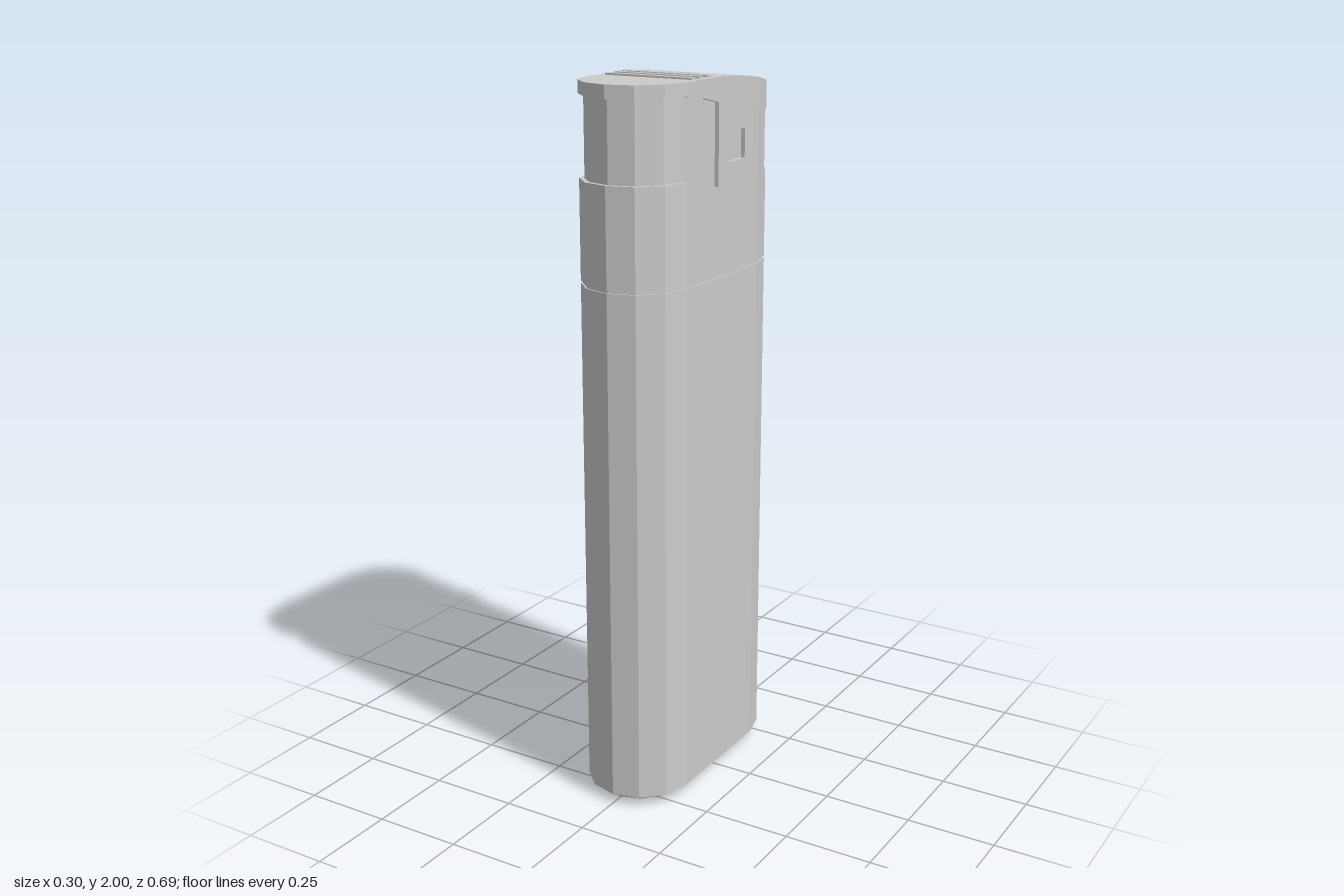
import * as THREE from 'three';

const TOP = 1.995, LID = 0.035, SEAM = 1.476, WALL = 0.012;
const mat = new THREE.MeshStandardMaterial({ color: 0xcccccc, flatShading: true });

// Plan outline [x, z], anticlockwise from the front seen from above
const half = [[0, 0.345], [0.075, 0.325], [0.13, 0.27], [0.15, 0.195],
  [0.15, -0.18], [0.13, -0.26], [0.075, -0.315], [0, -0.333]];
const outline = [...half, ...half.slice(1, 7).reverse().map(([x, z]) => [-x, z])];
const N = outline.length;

// How far the lid slopes down towards the back
const drop = z => (z < 0.05 ? 0.052 * ((0.05 - z) / 0.383) ** 2 : 0);
const underLid = z => TOP - LID - drop(z);

function bend(geo) {
  const p = geo.attributes.position;
  for (let i = 0; i < p.count; i++) p.setY(i, p.getY(i) - drop(p.getZ(i)));
  geo.computeVertexNormals();
  return geo;
}

function add(parent, name, geo, x = 0, y = 0, z = 0) {
  const mesh = new THREE.Mesh(geo, mat);
  mesh.name = name;
  mesh.position.set(x, y, z);
  parent.add(mesh);
  return mesh;
}

// Closed solid from rings [y, inset] of the outline, bottom to top
function loft(rings, minZ = -1) {
  const pos = [], idx = [];
  for (const [y, inset] of rings)
    for (const [x, z] of outline)
      pos.push(x * (1 - inset / 0.15), y, Math.max(z * (1 - inset / 0.34), minZ));
  const last = (rings.length - 1) * N, c = rings.length * N;
  pos.push(0, rings[0][0], 0, 0, rings[rings.length - 1][0], 0);
  for (let j = 0; j < N; j++) {
    const k = (j + 1) % N;
    for (let r = 0; r < last; r += N)
      idx.push(r + j, r + k, r + N + k, r + j, r + N + k, r + N + j);
    idx.push(c, k, j, c + 1, last + j, last + k);
  }
  const g = new THREE.BufferGeometry();
  g.setAttribute('position', new THREE.Float32BufferAttribute(pos, 3));
  g.setIndex(idx);
  const flat = g.toNonIndexed();
  flat.computeVertexNormals();
  return flat;
}

const toShape = pts => new THREE.Shape(pts.map(([x, y]) => new THREE.Vector2(x, y)));

// Turn an object so its x runs along outline edge j and its z points outwards
function placeOnEdge(obj, j) {
  const [ax, az] = outline[j], [bx, bz] = outline[(j + 1) % N];
  obj.position.set(ax, 0, az);
  obj.rotation.y = Math.atan2(az - bz, bx - ax);
}

function wallPanel(parent, name, j, pts, hole) {
  const shape = toShape(pts);
  if (hole) shape.holes.push(new THREE.Path(hole.map(([x, y]) => new THREE.Vector2(x, y))));
  const g = new THREE.ExtrudeGeometry(shape, { depth: WALL, bevelEnabled: false });
  placeOnEdge(add(parent, name, g.translate(0, 0, -WALL)), j);
}

// Plate cut from plan points [x, z], following the lid slope
function lidPlate(pts) {
  const g = new THREE.ExtrudeGeometry(toShape(pts.map(([x, z]) => [x, -z])),
    { depth: LID, bevelEnabled: false });
  return bend(g.rotateX(-Math.PI / 2).translate(0, TOP - LID, 0));
}

// Half cut-outs lying on a corner: [distance from corner, y]
const ventNotch = [[0, 1.715], [0.009, 1.719], [0.013, 1.73], [0.013, 1.87], [0.009, 1.881], [0, 1.885]];
const sliderNotch = [[0, 1.565], [0.07, 1.565], [0.07, 1.615], [0, 1.615]];
const notchAt = i => ([5, 6, 8, 9].includes(i) ? ventNotch : i === 7 ? sliderNotch : []);

function buildShroud() {
  const shroud = new THREE.Group();
  shroud.name = 'shroud';
  for (let j = 0; j < N; j++) {
    const k = (j + 1) % N, a = outline[j], b = outline[k];
    const L = Math.hypot(b[0] - a[0], b[1] - a[1]);
    if (j === 3 || j === 10) {
      // Flat sides, with the thumb-lever opening and a square window
      const at = z => (j === 3 ? 0.195 - z : z + 0.18);
      const map = pts => pts.map(([z, y]) => [at(z), y]);
      wallPanel(shroud, 'shroudSide', j, map([
        [0.195, SEAM], [-0.18, SEAM], ...[-0.18, -0.12, -0.06, 0, 0.05].map(z => [z, underLid(z)]),
        [0.195, TOP - LID], [0.195, 1.957], [0.11, 1.947], [0.035, 1.93],
        [0.035, 1.71], [0.11, 1.73], [0.195, 1.745]]),
      map([[-0.017, 1.77], [-0.017, 1.85], [-0.105, 1.85], [-0.105, 1.77]]));
    } else if (j > 3 && j < 10) {
      wallPanel(shroud, 'shroudBack', j, [[0, SEAM], [L, SEAM],
        ...notchAt(k).map(([d, y]) => [L - d, y]), [L, underLid(b[1])],
        [0, underLid(a[1])], ...notchAt(j).slice().reverse()]);
    } else {
      wallPanel(shroud, 'shroudFront', j, [[0, SEAM], [L, SEAM], [L, 1.745], [0, 1.745]]);
    }
  }
  return shroud;
}

function buildLid() {
  const lid = new THREE.Group();
  lid.name = 'lid';
  // Front plate
  add(lid, 'lidFront', lidPlate([[-0.15, 0.03], ...outline.slice(11), ...outline.slice(0, 4), [0.15, 0.03]]));
  // Back halves, leaving the valve opening, its side slots and the stem groove
  const back = [[0.008, -0.08], [0.15, -0.08], [0.15, -0.13], ...half.slice(4),
    [0, -0.232], [0.025, -0.225], [0.043, -0.207], [0.05, -0.188],
    [0.086, -0.188], [0.075, -0.22], [0.038, -0.27], [0.055, -0.277], [0.093, -0.234], [0.108, -0.182],
    [0.05, -0.182], [0.043, -0.157], [0.025, -0.139], [0.008, -0.135]];
  for (const s of [1, -1]) {
    add(lid, 'lidBack', lidPlate(back.map(([x, z]) => [s * x, z])));
    const strip = new THREE.BoxGeometry(0.142, LID, 0.11, 1, 1, 4);
    add(lid, 'lidMiddle', bend(strip.translate(s * 0.079, TOP - LID / 2, -0.025)));
  }
  // Floor under the openings, stem and valve
  const floor = new THREE.BoxGeometry(0.216, 0.01, 0.32, 1, 1, 8);
  add(lid, 'openingFloor', bend(floor.translate(0, TOP - LID - 0.003, -0.12)));
  const stem = new THREE.BoxGeometry(0.016, 0.02, 0.085, 1, 1, 3);
  add(lid, 'stem', bend(stem.translate(0, TOP - 0.02, -0.0125)));
  add(lid, 'valve', new THREE.CylinderGeometry(0.018, 0.018, 0.06, 20), 0, 1.94, -0.182);
  // Thumb grip ridges
  for (const z of [0.053, 0.091, 0.132])
    add(lid, 'gripRidge', new THREE.BoxGeometry(0.26, 0.01, 0.02), 0, TOP, z);
  return lid;
}

function buildSlider() {
  const slider = new THREE.Group();
  slider.name = 'flameSlider';
  add(slider, 'sliderBase', new THREE.BoxGeometry(0.066, 0.036, 0.018), 0.036, 1.59, -0.004);
  for (let i = 0; i < 3; i++)
    add(slider, 'sliderTooth', new THREE.BoxGeometry(0.014, 0.036, 0.012), 0.011 + i * 0.025, 1.59, 0.006);
  placeOnEdge(slider, 6);
  return slider;
}

export function createModel() {
  const model = new THREE.Group();
  model.name = 'lighter';
  // Fuel tank with bevelled, slightly hollow base
  add(model, 'tank', loft([[0.012, 0.055], [0, 0.042], [0.028, 0], [1.469, 0]]));
  add(model, 'seam', loft([[1.46, 0.004], [1.48, 0.004]]));
  // Thumb lever, which also backs the side windows
  add(model, 'thumbLever', loft([[1.66, WALL], [TOP - LID + 0.002, WALL]], -0.13));
  add(model, 'sliderBacking', new THREE.BoxGeometry(0.14, 0.09, 0.01), 0, 1.59, -0.297);
  model.add(buildShroud(), buildLid(), buildSlider());
  return model;
}
